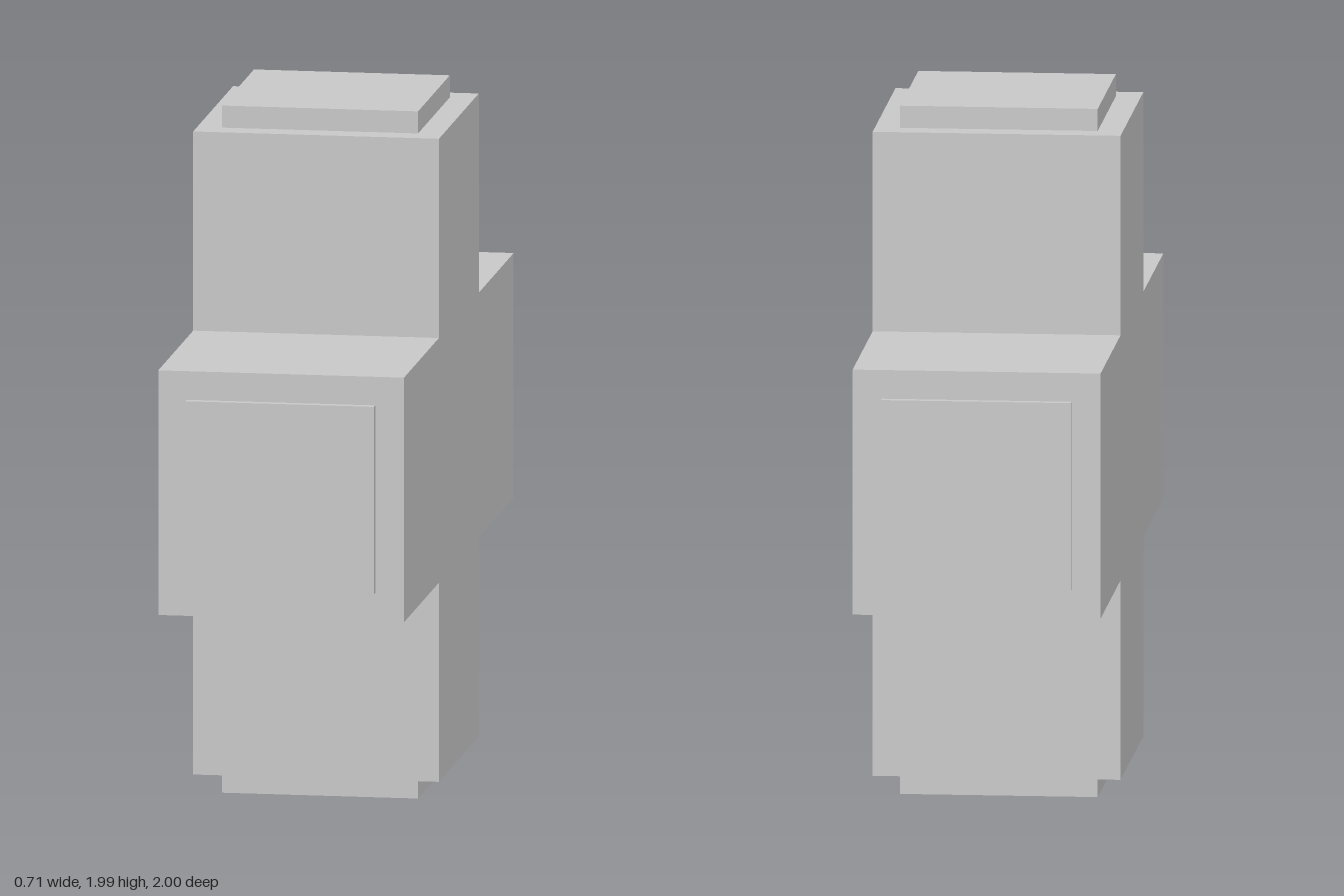
import * as THREE from 'three';

export function createModel() {
  const group = new THREE.Group();
  const material = new THREE.MeshStandardMaterial({ color: 0xcccccc, flatShading: true });
  const add = (name, geometry, x, y, z) => {
    const mesh = new THREE.Mesh(geometry, material);
    mesh.name = name;
    mesh.position.set(x, y, z);
    group.add(mesh);
  };

  const midY = 0.997;  // height of the crossing
  const h = 0.355;     // half thickness of the arms
  const armY = 0.933;  // reach of the upright arms
  const armZ = 0.977;  // reach of the level arms

  // Cross-shaped body, drawn in the z-y plane and extruded along x
  const outline = [
    [h, h], [h, armY], [-h, armY], [-h, h], [-armZ, h], [-armZ, -h],
    [-h, -h], [-h, -armY], [h, -armY], [h, -h], [armZ, -h], [armZ, h],
  ].map(([a, b]) => new THREE.Vector2(a, b));
  const body = new THREE.ExtrudeGeometry(new THREE.Shape(outline), { depth: 2 * h, bevelEnabled: false });
  body.translate(0, 0, -h).rotateY(Math.PI / 2);
  add('crossBody', body, 0, midY, 0);

  // Raised square pads on the four arm ends, sunk slightly into the body
  const sink = 0.02;
  const padY = midY - armY, padZ = 1 - armZ;
  for (const s of [1, -1]) {
    add(s > 0 ? 'topPad' : 'bottomPad', new THREE.BoxGeometry(0.566, padY + sink, 0.566),
      0, midY + s * (armY + (padY - sink) / 2), 0);
    add(s > 0 ? 'frontPad' : 'backPad', new THREE.BoxGeometry(0.544, 0.544, padZ + sink),
      0, midY, s * (armZ + (padZ - sink) / 2));
  }
  return group;
}
